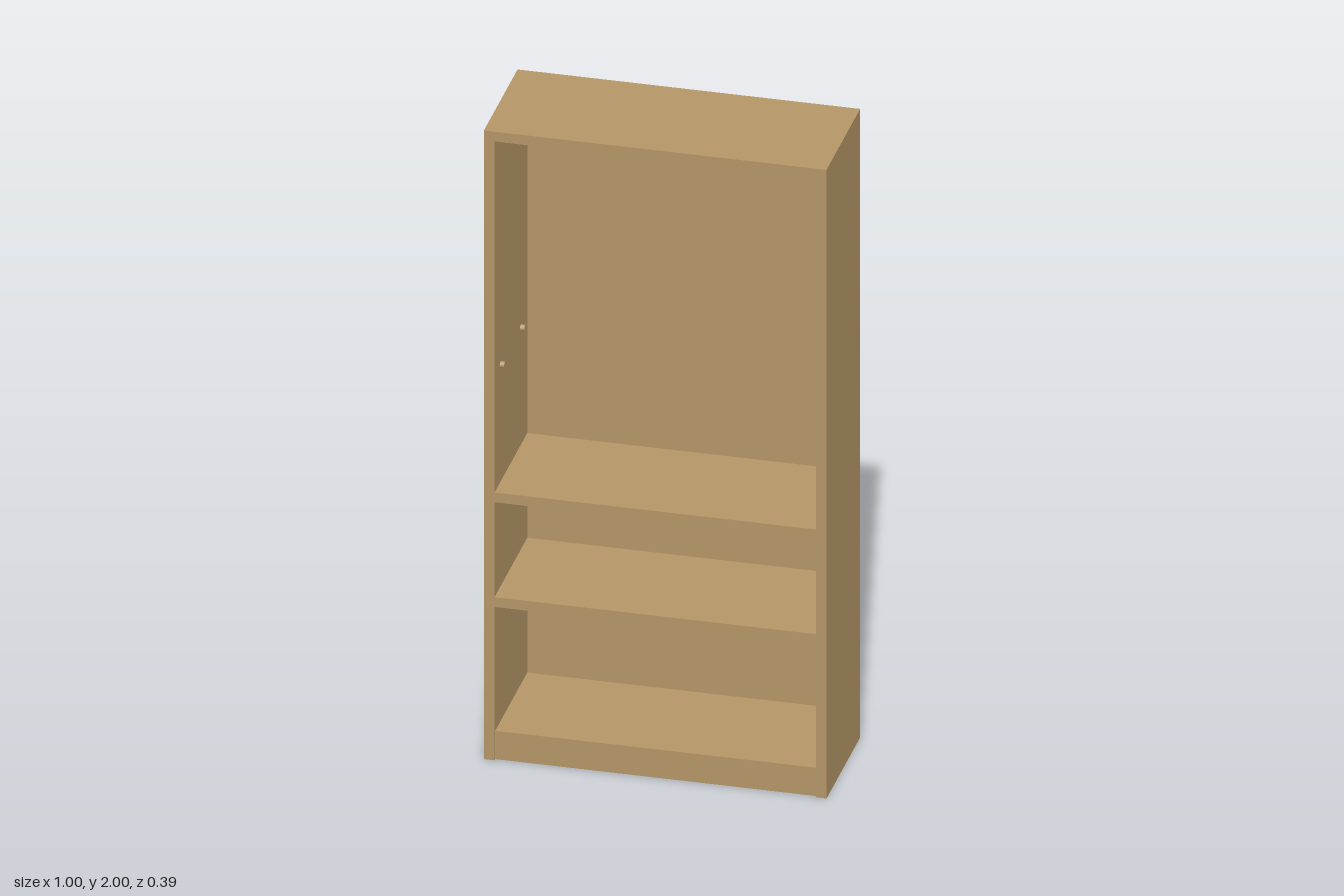
import * as THREE from 'three';

export function createModel() {
  const group = new THREE.Group();
  const wood = new THREE.MeshStandardMaterial({ color: 0xb49566 });
  wood.name = 'lightWood';

  const W = 1, H = 2, D = 0.39;      // overall size
  const T = 0.031, BACK = 0.01;      // board and back panel thickness
  const innerW = W - 2 * T;

  function add(name, geometry, x, y, z) {
    const mesh = new THREE.Mesh(geometry, wood);
    mesh.name = name;
    mesh.position.set(x, y, z);
    group.add(mesh);
    return mesh;
  }

  // Box given by its bottom, top, back and front
  function board(name, width, y0, y1, z0, z1, x = 0) {
    add(name, new THREE.BoxGeometry(width, y1 - y0, z1 - z0), x, (y0 + y1) / 2, (z0 + z1) / 2);
  }

  // Carcass: sides and top
  for (const s of [-1, 1]) {
    board(s > 0 ? 'leftSide' : 'rightSide', T, 0, H, -D / 2, D / 2, s * (W - T) / 2);
  }
  board('topBoard', innerW, H - T, H, -D / 2, D / 2);

  // Back panel stops just above the floor
  board('backPanel', innerW, 0.015, H - T, -D / 2, -D / 2 + BACK);

  // Plinth, slightly recessed at the front
  board('plinth', innerW, 0, 0.09, -D / 2 + BACK, D / 2 - 0.008);

  // Shelves
  for (const top of [0.519, 0.852]) {
    board('shelf', innerW, top - T, top, -D / 2 + BACK, D / 2);
  }

  // Shelf pins inside the upper bay
  const pin = new THREE.CylinderGeometry(0.01, 0.01, 0.013, 16).rotateZ(Math.PI / 2);
  for (const s of [-1, 1]) {
    for (const z of [0.125, -0.11]) add('shelfPin', pin, s * (innerW / 2 - 0.0065), 1.225, z);
  }

  return group;
}
